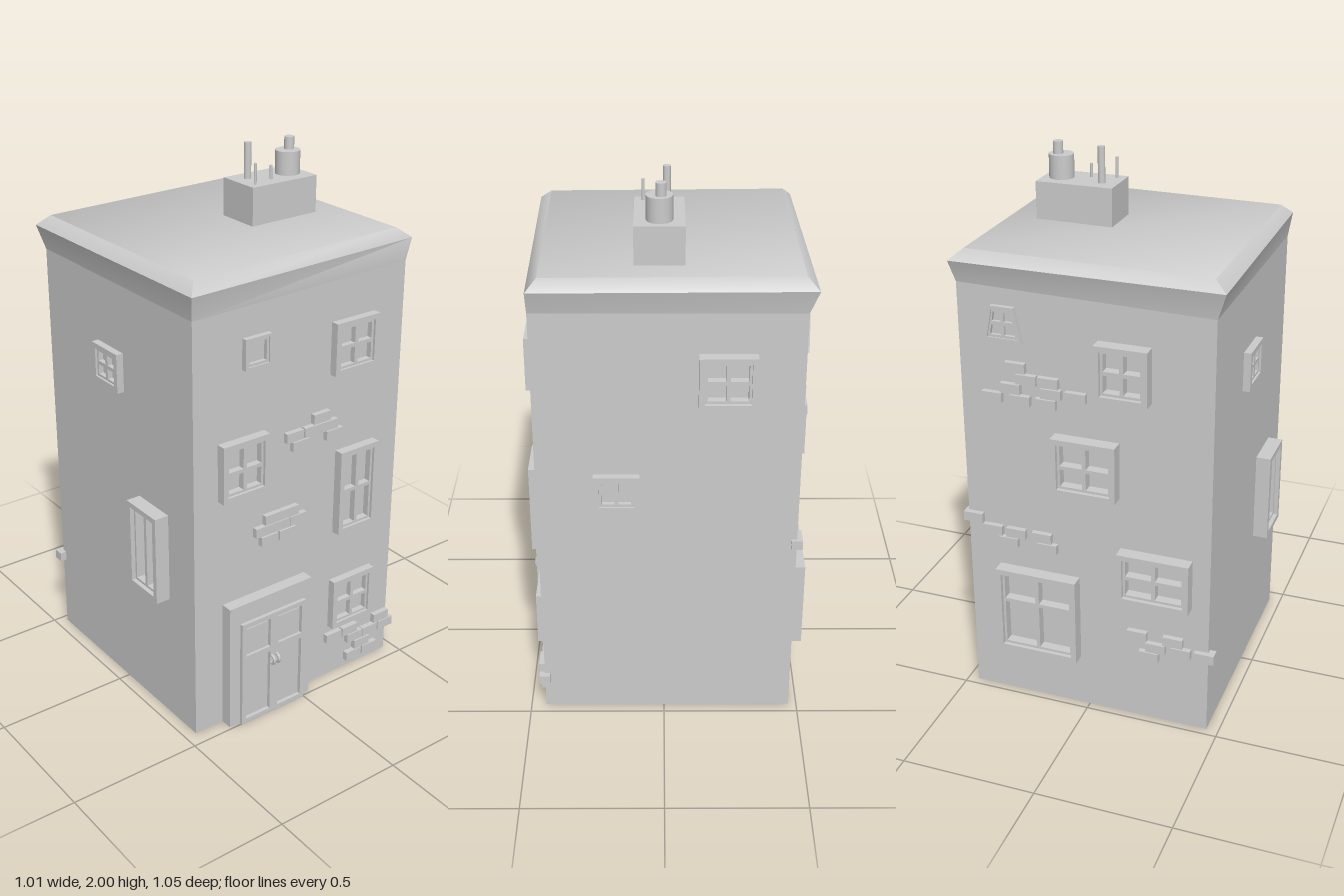
import * as THREE from 'three';
import { toCreasedNormals } from 'three/addons/utils/BufferGeometryUtils.js';

const grey = new THREE.MeshStandardMaterial({ color: 0xcccccc });
const flat = new THREE.MeshStandardMaterial({ color: 0xcccccc, flatShading: true });
const open = new THREE.MeshStandardMaterial({ color: 0xcccccc, flatShading: true, side: THREE.DoubleSide });

// Each wall: turn about y, distance from the axis, and sign from world coordinate to local x
const sides = {
  front: { turn: 0, wall: 0.445, sign: 1 },
  right: { turn: Math.PI / 2, wall: 0.46, sign: -1 },
  back: { turn: Math.PI, wall: 0.47, sign: -1 },
  left: { turn: -Math.PI / 2, wall: 0.455, sign: 1 },
};

function addMesh(parent, name, geometry, material, x = 0, y = 0, z = 0) {
  const mesh = new THREE.Mesh(geometry, material);
  mesh.name = name;
  mesh.position.set(x, y, z);
  parent.add(mesh);
  return mesh;
}

const box = (parent, name, w, h, d, x, y, z) =>
  addMesh(parent, name, new THREE.BoxGeometry(w, h, d), flat, x, y, z);

// Skin between successive four-cornered rings, with an optional lid
function loft(rings, lid) {
  const points = [];
  const quad = (a, b, c, d) => points.push(...a, ...b, ...c, ...a, ...c, ...d);
  for (let i = 0; i + 1 < rings.length; i++) {
    for (let k = 0; k < 4; k++) {
      const n = (k + 1) % 4;
      quad(rings[i][k], rings[i][n], rings[i + 1][n], rings[i + 1][k]);
    }
  }
  if (lid) quad(...rings[rings.length - 1]);
  const geometry = new THREE.BufferGeometry();
  geometry.setAttribute('position', new THREE.Float32BufferAttribute(points, 3));
  geometry.computeVertexNormals();
  return geometry;
}

function rectPath(target, x0, y0, x1, y1) {
  target.moveTo(x0, y0);
  target.lineTo(x1, y0);
  target.lineTo(x1, y1);
  target.lineTo(x0, y1);
  target.closePath();
  return target;
}

// Plate centred on x, base at y = 0, with a grid of openings (rows are height shares from the bottom)
function frameGeometry(w, h, depth, { border = 0.027, gap = 0.013, cols = 2, rows = [0.5, 0.5] }) {
  const shape = rectPath(new THREE.Shape(), -w / 2, 0, w / 2, h);
  const paneW = (w - 2 * border - gap * (cols - 1)) / cols;
  const clear = h - 2 * border - gap * (rows.length - 1);
  let y = border;
  for (const share of rows) {
    for (let c = 0; c < cols; c++) {
      const x = -w / 2 + border + c * (paneW + gap);
      shape.holes.push(rectPath(new THREE.Path(), x, y, x + paneW, y + clear * share));
    }
    y += clear * share + gap;
  }
  return new THREE.ExtrudeGeometry(shape, { depth, bevelEnabled: false });
}

// Window: a raised outer casing, with a slightly recessed sash inside it
function addWindow(parent, side, a, b, y0, y1, out, options = {}) {
  const { wall, sign } = sides[side];
  const w = Math.abs(b - a), h = y1 - y0, edge = options.edge ?? 0.02;
  const group = new THREE.Group();
  group.name = side + 'Window';
  group.position.set(sign * (a + b) / 2, y0, wall - 0.012);
  const casing = frameGeometry(w, h, out + 0.012, { border: edge, cols: 1, rows: [1] });
  const sash = frameGeometry(w - 2 * edge, h - 2 * edge, out * 0.7 + 0.012,
    { border: 0.009, gap: 0.014, ...options });
  sash.translate(0, edge, 0);
  for (const geometry of [casing, sash]) {
    const p = geometry.attributes.position;
    for (let i = 0; i < p.count; i++) p.setX(i, p.getX(i) * (1 - (options.taper ?? 0) * p.getY(i) / h));
  }
  addMesh(group, 'casing', casing, flat);
  addMesh(group, 'sash', sash, flat);
  parent.add(group);
}

// Exposed bricks: rows of [height, ...positions along the wall]
function addBricks(parent, side, rows) {
  const { wall, sign } = sides[side];
  const group = new THREE.Group();
  group.name = side + 'Bricks';
  for (const [y, ...along] of rows) {
    for (const u of along) box(group, 'brick', 0.074, 0.036, 0.04, sign * u, y, wall);
  }
  parent.add(group);
}

function addDoor(parent) {
  const door = new THREE.Group();
  door.name = 'door';
  box(door, 'doorSurround', 0.37, 0.505, 0.06, -0.15, 0.2525, 0.46);
  for (const s of [-1, 1]) {
    const x = -0.145 + s * 0.0725;
    const leaf = frameGeometry(0.145, 0.43, 0.02, { border: 0.018, gap: 0.022, cols: 1, rows: [0.68, 0.32] });
    addMesh(door, 'doorLeaf', leaf, flat, x, 0, 0.484);
    box(door, 'lowerPanel', 0.097, 0.238, 0.012, x, 0.144, 0.488);
    box(door, 'upperPanel', 0.097, 0.106, 0.012, x, 0.346, 0.488);
    const handle = addMesh(door, 'doorHandle', new THREE.TorusGeometry(0.016, 0.006, 8, 16), grey,
      -0.145 + s * 0.011, 0.235, 0.506);
    handle.rotation.y = Math.PI / 2;
  }
  parent.add(door);
}

function addChimney(parent) {
  const chimney = new THREE.Group();
  chimney.name = 'chimney';
  box(chimney, 'chimneyStack', 0.285, 0.17, 0.17, 0.1925, 1.785, 0.015);
  // name, x, z, radius, bottom, top
  const pipes = [
    ['chimneyPot', 0.27, 0.015, 0.045, 1.86, 1.955],
    ['potFlue', 0.28, 0.01, 0.018, 1.94, 2],
    ['tallPipe', 0.11, -0.01, 0.013, 1.86, 2],
    ['frontRod', 0.083, 0.07, 0.005, 1.86, 1.945],
    ['middleRod', 0.17, 0.047, 0.005, 1.86, 1.92],
  ];
  for (const [name, x, z, r, y0, y1] of pipes) {
    addMesh(chimney, name, new THREE.CylinderGeometry(r, r, y1 - y0, 24), grey, x, (y0 + y1) / 2, z);
  }
  parent.add(chimney);
}

export function createModel() {
  const model = new THREE.Group();
  model.name = 'townHouse';

  // Rings run front left of picture, front right, back right, back left
  const base = [[-0.455, 0, 0.445], [0.46, 0, 0.445], [0.46, 0, -0.47], [-0.455, 0, -0.47]];
  const eaves = base.map(([x, , z]) => [x, x < 0 ? 1.6 : 1.62, z]);
  const rim = [[-0.467, 1.687, 0.463], [0.483, 1.7, 0.447], [0.473, 1.7, -0.5], [-0.485, 1.692, -0.482]];
  const crown = [[-0.43, 1.725, 0.42], [0.44, 1.735, 0.41], [0.43, 1.737, -0.46], [-0.44, 1.728, -0.45]];
  addMesh(model, 'walls', loft([base, eaves]), open);
  addMesh(model, 'roof', toCreasedNormals(loft([eaves, rim, crown], true), 0.85), grey);
  addChimney(model);

  // One turned group per wall
  const walls = {};
  for (const side in sides) {
    walls[side] = new THREE.Group();
    walls[side].name = side + 'Details';
    walls[side].rotation.y = sides[side].turn;
    model.add(walls[side]);
  }
  const tall = { rows: [0.46, 0.54] };
  const windows = [
    ['front', -0.255, -0.145, 1.385, 1.497, 0.02, { cols: 1, rows: [1], edge: 0.01 }],
    ['front', 0.13, 0.325, 1.27, 1.465, 0.03],
    ['front', -0.355, -0.16, 0.925, 1.14, 0.035, tall],
    ['front', 0.167, 0.345, 0.63, 0.965, 0.035],
    ['front', 0.16, 0.357, 0.22, 0.425, 0.03],
    ['right', -0.31, -0.115, 1.285, 1.475, 0.043],
    ['right', 0.085, 0.245, 0.875, 1.015, 0.025, { rows: [1] }],
    ['left', -0.13, 0.03, 1.21, 1.355, 0.027],
    ['left', 0.11, 0.29, 0.495, 0.835, 0.055, { rows: [1] }],
    ['back', 0.22, 0.36, 1.43, 1.555, 0.018, { edge: 0.012, taper: 0.4 }],
    ['back', -0.237, -0.048, 1.275, 1.475, 0.05],
    ['back', -0.122, 0.114, 0.897, 1.11, 0.05, tall],
    ['back', 0.033, 0.343, 0.205, 0.545, 0.05, { rows: [0.64, 0.36] }],
    ['back', -0.39, -0.125, 0.505, 0.7, 0.05],
  ];
  for (const [side, ...rest] of windows) addWindow(walls[side], side, ...rest);
  addDoor(walls.front);

  // Brick patches
  addBricks(walls.front, 'front', [[1.125, 0.085], [1.085, -0.035, 0.045, 0.12], [1.045, -0.007, 0.145]]);
  addBricks(walls.front, 'front', [[0.793, -0.125, -0.05], [0.754, -0.165, -0.09, -0.013], [0.712, -0.14, -0.06]]);
  addBricks(walls.front, 'front', [[0.172, 0.18, 0.26, 0.42], [0.132, 0.287, 0.364, 0.443], [0.09, 0.325], [0.05, 0.285, 0.365]]);
  addBricks(walls.back, 'back', [[1.34, 0.25], [1.3, 0.21, 0.13], [1.26, 0.27, 0.12, 0.03], [1.22, 0.34, 0.235, 0.14]]);
  addBricks(walls.back, 'back', [[0.728, 0.436], [0.69, 0.36, 0.27, 0.17], [0.65, 0.3, 0.15]]);
  addBricks(walls.back, 'back', [[0.357, -0.19, -0.325], [0.317, -0.26, -0.355, -0.443], [0.277, -0.235]]);
  return model;
}
